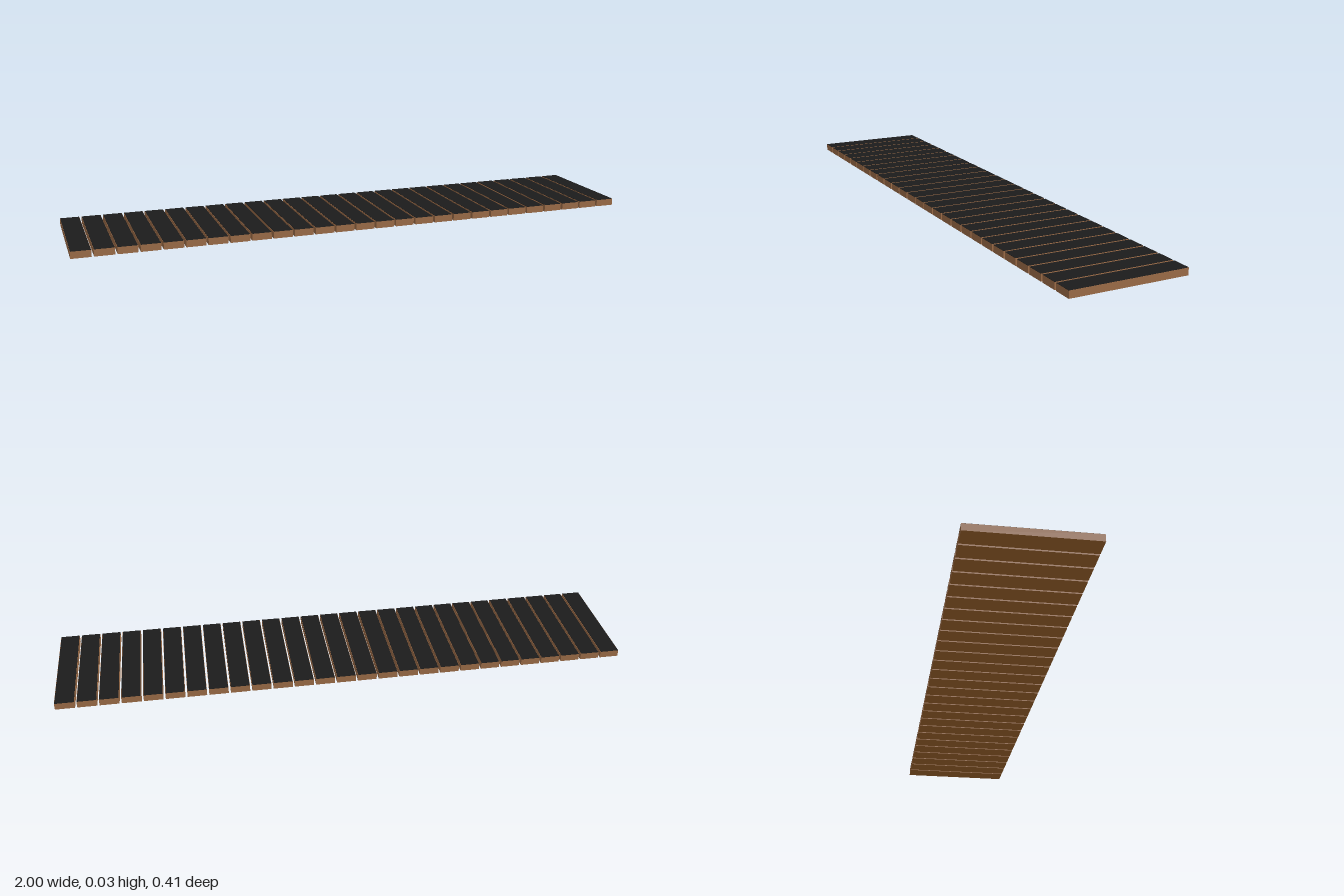
import * as THREE from 'three';

const COUNT = 27;
const WIDTH = 0.067;
const HEIGHT = 0.025;
const DEPTH = 0.41;
const COAT = 0.001; // thickness of the black surface
const RIM = 0.001; // bare wood left along the long edges

function makeMaterial(name, color) {
  const material = new THREE.MeshStandardMaterial({ color });
  material.name = name;
  return material;
}

export function createModel() {
  const model = new THREE.Group();
  model.name = 'plankWalkway';

  const side = makeMaterial('brown wood', 0x9c6c47);
  const under = makeMaterial('warm brown underside', 0xa4682f);
  const black = makeMaterial('black top', 0x1b1b1b);

  // Wooden body with a warmer underside, and its black surface
  const woodHeight = HEIGHT - COAT;
  const bodyGeometry = new THREE.BoxGeometry(WIDTH, woodHeight, DEPTH);
  const bodyMaterials = [side, side, side, under, side, side];
  const coatGeometry = new THREE.BoxGeometry(WIDTH - 2 * RIM, COAT, DEPTH);

  // Row of planks with narrow open gaps
  const pitch = (2 - WIDTH) / (COUNT - 1);
  for (let i = 0; i < COUNT; i++) {
    const plank = new THREE.Group();
    plank.name = `plank${i + 1}`;
    plank.position.x = (i - (COUNT - 1) / 2) * pitch;

    const body = new THREE.Mesh(bodyGeometry, bodyMaterials);
    body.name = 'plankBody';
    body.position.y = woodHeight / 2;

    const coat = new THREE.Mesh(coatGeometry, black);
    coat.name = 'plankTop';
    coat.position.y = HEIGHT - COAT / 2;

    plank.add(body, coat);
    model.add(plank);
  }
  return model;
}
